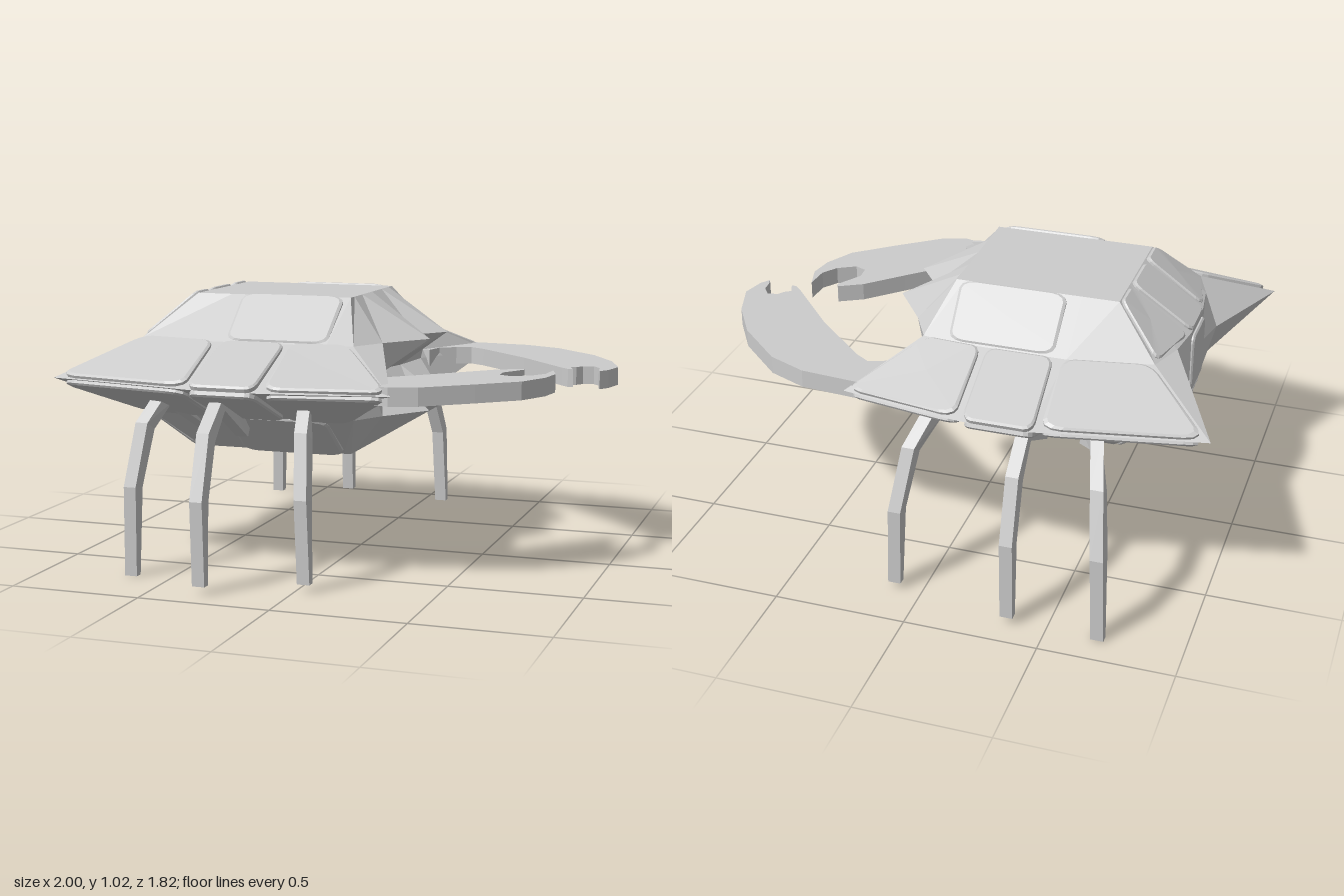
import * as THREE from 'three';

const MID = 0.722, Z0 = 0.015;
const grey = new THREE.MeshStandardMaterial({ color: 0xcccccc, flatShading: true });

function add(group, name, geometry) {
  const mesh = new THREE.Mesh(geometry, grey);
  mesh.name = name;
  group.add(mesh);
}

// Skin a stack of equal-length rings and close both ends with fans.
function loft(rings) {
  const pos = [], n = rings[0].length;
  const tri = (...pts) => pts.forEach(p => pos.push(p.x, p.y, p.z));
  for (let k = 0; k < rings.length - 1; k++) {
    const a = rings[k], b = rings[k + 1];
    for (let i = 0; i < n; i++) {
      const j = (i + 1) % n;
      tri(a[i], b[i], a[j]);
      tri(a[j], b[i], b[j]);
    }
  }
  const centre = r => r.reduce((s, p) => s.add(p), new THREE.Vector3()).divideScalar(n);
  const lo = rings[0], hi = rings[rings.length - 1], cl = centre(lo), ch = centre(hi);
  for (let i = 0; i < n; i++) {
    const j = (i + 1) % n;
    tri(cl, lo[i], lo[j]);
    tri(ch, hi[j], hi[i]);
  }
  const g = new THREE.BufferGeometry();
  g.setAttribute('position', new THREE.Float32BufferAttribute(pos, 3));
  g.computeVertexNormals();
  return g;
}

// Body half outlines [x, z], from the front centre round to the rear centre.
const TOP = [[.05, 0], [.05, .12], [.05, .21], [.05, .255], [.02, .255], [-.14, .255],
  [-.38, .255], [-.43, .255], [-.57, .255], [-.57, .15], [-.57, .1]];
const SHOULDER = [[.23, 0], [.32, .12], [.19, .3], [.12, .43], [.02, .45], [-.14, .45],
  [-.38, .45], [-.43, .45], [-.74, .39], [-.79, .25], [-.81, .1]];
const WAIST = [[.1, 0], [.13, .12], [.15, .33], [.34, .68], [0, .745], [-.13, .76],
  [-.38, .76], [-.44, .745], [-1, .635], [-.84, .25], [-.81, .1]];

function outline(half, y) {
  const back = half.slice(1).reverse().map(([x, z]) => [x, -z]);
  return [...half, ...back].map(([x, z]) => new THREE.Vector3(x, y, z + Z0));
}

// Raised plate with rounded corners over four corner points.
function plate(corners) {
  const [a, b, c, d] = corners.map(p => new THREE.Vector3(...p));
  const centre = a.clone().add(b).add(c).add(d).divideScalar(4);
  const normal = c.clone().sub(a).cross(d.clone().sub(b)).normalize();
  const out = centre.clone().sub(new THREE.Vector3(-.26, MID, Z0));
  const flipped = normal.dot(out) < 0;
  if (flipped) normal.negate();
  const ring = (inset, lift) => {
    const pts = [], r = .13;
    for (let k = 0; k < 4; k++) for (let s = 0; s <= 3; s++) {
      const t = (k + s / 3) * Math.PI / 2;
      const sx = k === 0 || k === 3 ? 1 : 0, sy = k < 2 ? 1 : 0;
      let u = (sx ? 1 - r : r) + r * Math.cos(t), v = (sy ? 1 - r : r) + r * Math.sin(t);
      u = inset + u * (1 - 2 * inset);
      v = inset + v * (1 - 2 * inset);
      const p = a.clone().lerp(b, u).lerp(d.clone().lerp(c, u), v);
      pts.push(p.addScaledVector(normal, lift));
    }
    return flipped ? pts : pts.reverse();
  };
  return loft([ring(0, -.015), ring(0, .006), ring(.025, .012)]);
}

// Jointed leg with a rectangular section, from under the shell to the foot.
function leg(side, rootX, [footX, footY, reach]) {
  const profile = [[.40, .52], [.66, .67], [.80, .56], [.88, .34], [.885, footY]];
  const along = [0, .55, .8, .95, 1], half = [.026, .034, .034, .03, .016];
  const path = profile.map(([z, y], i) => new THREE.Vector3(
    rootX + (footX - rootX) * along[i], y, side * z * reach / .885 + Z0 * (1 - along[i])));
  const X = new THREE.Vector3(1, 0, 0);
  return loft(path.map((p, i) => {
    const T = path[Math.min(i + 1, 4)].clone().sub(path[Math.max(i - 1, 0)]);
    const N = T.cross(X).normalize();
    return [[1, 1], [1, -1], [-1, -1], [-1, 1]].map(([u, v]) =>
      p.clone().addScaledVector(X, u * .024).addScaledVector(N, v * half[i]));
  }));
}

// Flat pincer cut from an [x, z] outline.
function claw(points) {
  const shape = new THREE.Shape(points.map(p => new THREE.Vector2(...p)));
  return new THREE.ExtrudeGeometry(shape, { depth: .068, bevelEnabled: false })
    .rotateX(Math.PI / 2).translate(0, .754, 0);
}

export function createModel() {
  const model = new THREE.Group();

  add(model, 'body', loft([outline(TOP, .424), outline(SHOULDER, .585), outline(WAIST, MID),
    outline(SHOULDER, .86), outline(TOP, 1.02)]));

  // Shell plates, mirrored left to right and top to bottom.
  for (const v of [1, -1]) {
    const h = { t: MID + v * .298, s: MID + v * .138, w: MID + v * .008 };
    const P = (x, level, z) => [x, h[level], z + Z0];
    const half = v > 0 ? 'upper' : 'lower';
    for (const s of [1, -1]) {
      add(model, half + 'FlankPlate',
        plate([P(-.38, 't', s * .258), P(.03, 't', s * .258), P(.02, 's', s * .44), P(-.38, 's', s * .44)]));
      add(model, half + 'RearWingPlate',
        plate([P(-.73, 's', s * .4), P(-.42, 's', s * .455), P(-.42, 'w', s * .742), P(-.98, 'w', s * .634)]));
      add(model, half + 'SidePlate',
        plate([P(-.385, 's', s * .455), P(-.135, 's', s * .455), P(-.14, 'w', s * .765), P(-.4, 'w', s * .765)]));
      add(model, half + 'FrontWingPlate',
        plate([P(-.11, 's', s * .455), P(.1, 's', s * .44), P(.33, 'w', s * .68), P(-.11, 'w', s * .752)]));
      add(model, half + 'RearCornerPlate',
        plate([P(-.575, 't', s * .13), P(-.575, 't', s * .25), P(-.74, 's', s * .37), P(-.80, 's', s * .13)]));
    }
    add(model, half + 'RearPlate',
      plate([P(-.575, 't', -.1), P(-.575, 't', .1), P(-.81, 's', .1), P(-.81, 's', -.1)]));
  }
  add(model, 'tailPlate', plate([[-.81, .84, -.085], [-.81, .84, .115], [-.81, .61, .115], [-.81, .61, -.085]]));

  // Three legs on each side.
  const roots = [-.5, -.33, -.1];
  const feet = {
    1: [[-.655, .005, .72], [-.31, .035, .885], [.035, .035, .74]],
    '-1': [[-.69, .005, .875], [-.355, .035, .885], [.105, .03, .8]],
  };
  for (const s of [1, -1]) {
    ['rearLeg', 'middleLeg', 'frontLeg'].forEach((name, i) =>
      add(model, name, leg(s, roots[i], feet[s][i])));
  }

  // Long curved claw and shorter claw with a deeper notch.
  add(model, 'largeClaw', claw([[.1, -.36], [.18, -.34], [.2, -.42], [.26, -.46], [.32, -.48], [.38, -.44],
    [.6, -.23], [.8, 0], [.83, .03], [.85, .03], [.83, -.02], [.85, -.03], [.87, -.06], [.91, -.07],
    [.94, -.03], [.945, .02], [.955, .05], [.98, .01], [1, -.08], [.95, -.23], [.85, -.39],
    [.67, -.56], [.52, -.625], [.28, -.645], [.1, -.56]]));
  add(model, 'smallClaw', claw([[.1, .45], [.2, .49], [.32, .385], [.45, .26], [.58, .13], [.67, .08],
    [.68, .1], [.62, .2], [.625, .26], [.67, .28], [.74, .24], [.78, .18], [.785, .08], [.815, .18],
    [.8, .28], [.74, .4], [.6, .52], [.43, .655], [.33, .69], [.1, .62]]));

  return model;
}
